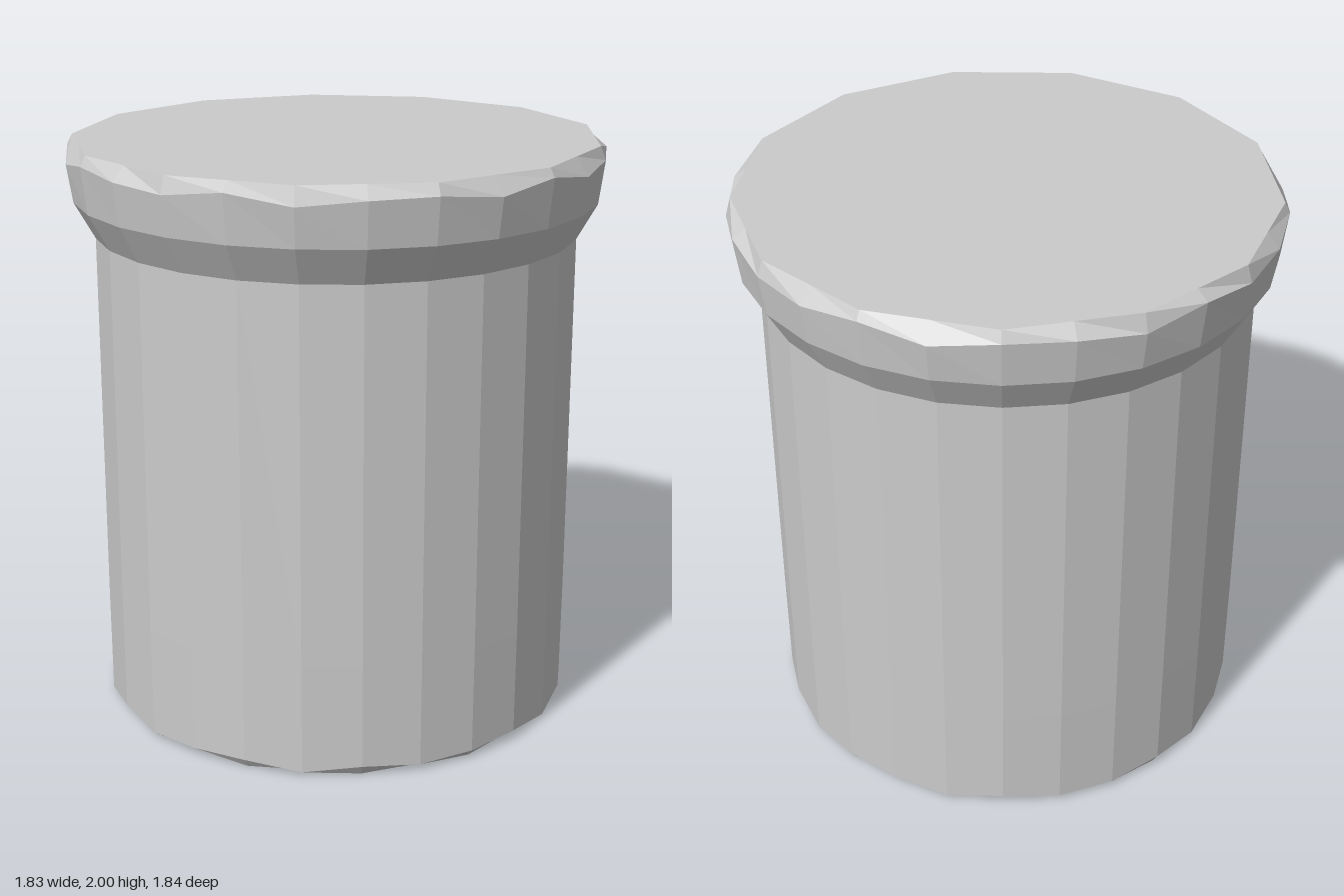
import * as THREE from 'three';

const SIDES = 26;
const material = new THREE.MeshStandardMaterial({ color: 0xcccccc, flatShading: true });

// Faceted solid of revolution; shape(side, ring) returns [radius scale, height shift]
function turned(name, profile, shape) {
  const points = profile.map(([r, y]) => new THREE.Vector2(r, y));
  const geometry = new THREE.LatheGeometry(points, SIDES);
  const p = geometry.attributes.position;
  for (let i = 0; i < p.count; i++) {
    const side = Math.floor(i / points.length) % SIDES;
    const [scale, dy] = shape(side, i % points.length);
    p.setXYZ(i, p.getX(i) * scale, p.getY(i) + dy, p.getZ(i) * scale);
  }
  geometry.computeVertexNormals();
  const mesh = new THREE.Mesh(geometry, material);
  mesh.name = name;
  return mesh;
}

// Every second corner of an end face is pulled onto the chord between its neighbours
const chord = Math.cos((2 * Math.PI) / SIDES);

export function createModel() {
  const group = new THREE.Group();
  group.name = 'jar';

  // Straight body with a small worn bevel at the foot
  group.add(turned('body',
    [[0, 0], [0.807, 0], [0.828, 0.025], [0.83, 0.4], [0.83, 1.69]],
    (side, ring) => {
      if (ring === 1 && side % 2) return [chord, 0];
      if (ring === 2) return [1, 0.012 * Math.sin(side * 2.4)];
      return [1, 0];
    }));

  // Flared lid with an uneven bevel around its flat top
  group.add(turned('lid',
    [[0.82, 1.68], [0.83, 1.68], [0.9, 1.805], [0.92, 1.952], [0.902, 2], [0, 2]],
    (side, ring) => {
      if (ring === 4 && side % 2 === 0) return [chord, 0];
      if (ring === 3) return [1, 0.018 * Math.sin(side * 2.4 - 0.8)];
      return [1, 0];
    }));

  return group;
}
